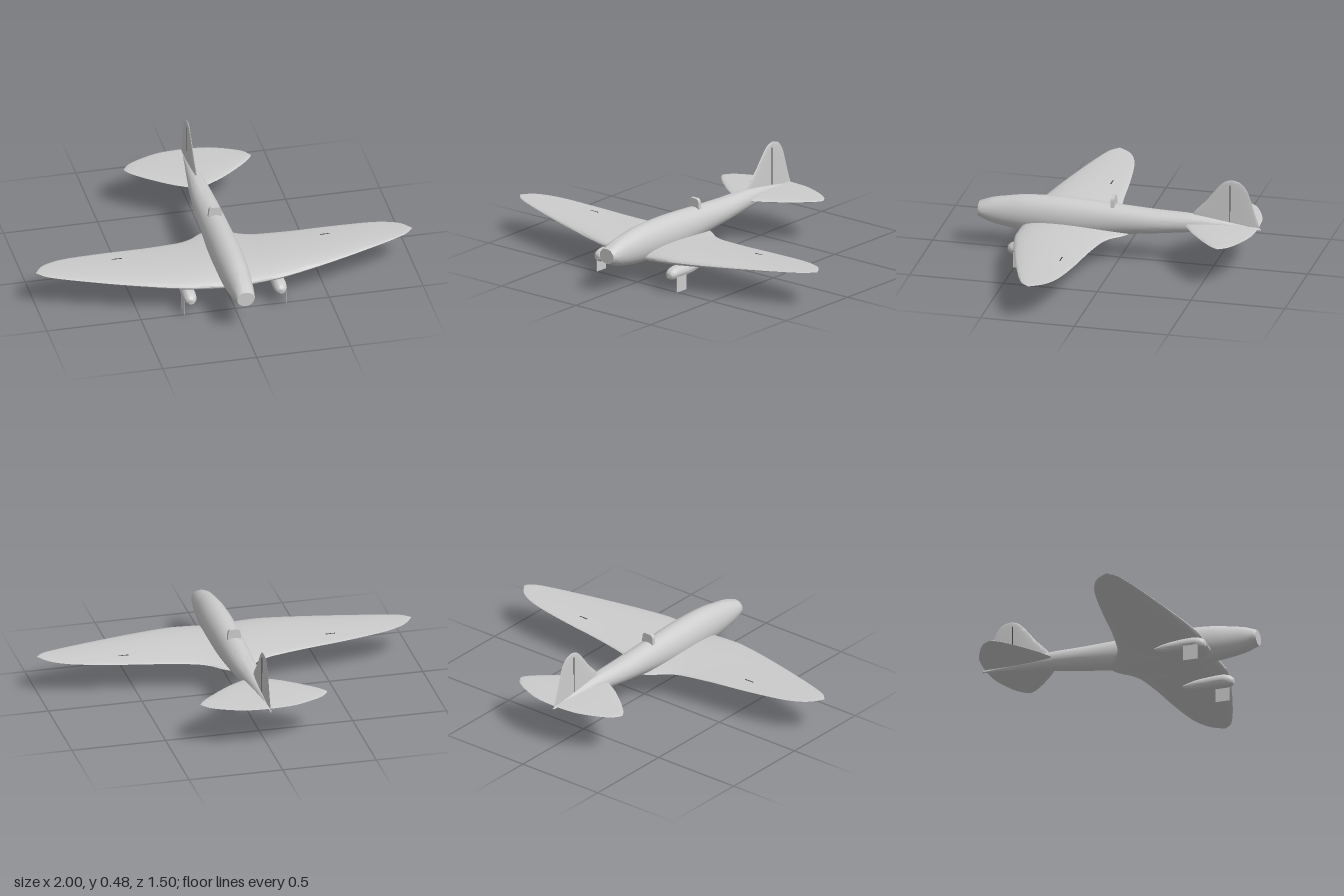
import * as THREE from 'three';
import { toCreasedNormals } from 'three/addons/utils/BufferGeometryUtils.js';

const paint = new THREE.MeshStandardMaterial({ color: 0xcccccc });
paint.name = 'light grey paint';
const dark = new THREE.MeshStandardMaterial({ color: 0x4a4a4a });
dark.name = 'dark hinge gap';

// Catmull-Rom blend between b and c
function spline(a, b, c, d, t) {
  const cubic = 3 * (b - c) + d - a;
  const square = 2 * a - 5 * b + 4 * c - d;
  return b + 0.5 * t * (c - a + t * (square + t * cubic));
}

// Smooth a table of stations, column by column
function smooth(rows, steps) {
  const out = [];
  const last = rows.length - 1;
  for (let i = 0; i < last; i++) {
    const a = rows[Math.max(i - 1, 0)], b = rows[i];
    const c = rows[i + 1], d = rows[Math.min(i + 2, last)];
    for (let k = 0; k < steps; k++) {
      out.push(b.map((p, n) => spline(a[n], p, c[n], d[n], k / steps)));
    }
  }
  out.push(rows[last]);
  return out;
}

// Skin a closed loop through every station and cap both ends
function loft(stations, sides, point) {
  const pos = [], index = [];
  for (const s of stations) {
    for (let j = 0; j < sides; j++) pos.push(...point(s, j / sides * Math.PI * 2));
  }
  const end = (stations.length - 1) * sides;
  for (let i = 0; i < end; i += sides) {
    for (let j = 0; j < sides; j++) {
      const a = i + j, b = i + (j + 1) % sides;
      index.push(a, b, b + sides, a, b + sides, a + sides);
    }
  }
  for (let j = 1; j < sides - 1; j++) {
    index.push(0, j + 1, j, end, end + j, end + j + 1);
  }
  const g = new THREE.BufferGeometry();
  g.setAttribute('position', new THREE.Float32BufferAttribute(pos, 3));
  g.setIndex(index);
  return toCreasedNormals(g, 0.8);
}

// Body station: [z, centre y, half width, half height]
const oval = ([z, y, w, h], a) => [w * Math.cos(a), y + h * Math.sin(a), z];

// Foil station: [span, leading z, trailing z, offset, thickness]
function foil([span, lead, trail, off, thick], a) {
  const s = Math.sin(a);
  return [span, off + thick / 2 * Math.cos(a) * (1 + 0.4 * s), (lead + trail) / 2 + (lead - trail) / 2 * s];
}
function uprightFoil(row, a) {
  const [span, off, z] = foil(row, a);
  return [-off, span, z];
}
const mirrorSpan = (half) => [...half.slice(1).reverse().map(([x, ...r]) => [-x, ...r]), ...half];

export function createModel() {
  const model = new THREE.Group();
  model.name = 'airplane';
  const add = (name, geometry, material = paint, x = 0, y = 0, z = 0) => {
    const m = new THREE.Mesh(geometry, material);
    m.name = name;
    m.position.set(x, y, z);
    model.add(m);
  };

  // Fuselage from tail to flat nose
  add('fuselage', loft(smooth([
    [-0.75, 0.22, 0.004, 0.004],
    [-0.6, 0.227, 0.02, 0.024],
    [-0.4, 0.229, 0.046, 0.048],
    [-0.2, 0.219, 0.063, 0.063],
    [0, 0.212, 0.071, 0.08],
    [0.2, 0.204, 0.078, 0.099],
    [0.35, 0.205, 0.08, 0.101],
    [0.5, 0.204, 0.075, 0.096],
    [0.6, 0.202, 0.067, 0.083],
    [0.68, 0.202, 0.059, 0.067],
    [0.735, 0.203, 0.051, 0.046],
    [0.75, 0.203, 0.046, 0.04],
  ], 4), 40, oval));

  // Wing with dihedral, rounded tips and a flared root at the trailing edge
  const wing = [
    [0, 0.51, -0.06, 0.143, 0.075],
    [0.07, 0.51, -0.03, 0.145, 0.073],
    [0.12, 0.51, 0.012, 0.149, 0.068],
    [0.18, 0.508, 0.042, 0.153, 0.063],
    [0.25, 0.503, 0.057, 0.157, 0.058],
    [0.4, 0.47, 0.077, 0.165, 0.047],
    [0.6, 0.415, 0.094, 0.176, 0.032],
    [0.8, 0.352, 0.12, 0.188, 0.017],
    [0.9, 0.316, 0.15, 0.194, 0.01],
    [0.96, 0.288, 0.188, 0.198, 0.006],
    [1, 0.247, 0.245, 0.2, 0.001],
  ];
  add('wing', loft(smooth(mirrorSpan(wing), 3), 40, foil));

  // Tailplane
  const tail = [
    [0, -0.34, -0.737, 0.231, 0.018],
    [0.05, -0.36, -0.736, 0.231, 0.017],
    [0.14, -0.412, -0.725, 0.231, 0.016],
    [0.24, -0.49, -0.687, 0.231, 0.012],
    [0.3, -0.545, -0.653, 0.231, 0.009],
    [0.325, -0.575, -0.625, 0.231, 0.006],
    [0.338, -0.599, -0.602, 0.231, 0.002],
  ];
  add('tailplane', loft(smooth(mirrorSpan(tail), 3), 32, foil));

  // Fin and rudder
  add('fin', loft(smooth([
    [0.217, -0.4, -0.75, 0, 0.016],
    [0.275, -0.385, -0.728, 0, 0.015],
    [0.36, -0.46, -0.702, 0, 0.012],
    [0.42, -0.507, -0.682, 0, 0.01],
    [0.455, -0.537, -0.66, 0, 0.008],
    [0.475, -0.563, -0.635, 0, 0.006],
    [0.483, -0.592, -0.602, 0, 0.003],
  ], 4), 32, uprightFoil));
  add('rudderHinge', new THREE.BoxGeometry(0.0145, 0.2, 0.005), dark, 0, 0.355, -0.586);

  // Headrest hoop standing on the spine
  const hoop = new THREE.Shape();
  hoop.moveTo(-0.036, 0);
  hoop.lineTo(0.036, 0);
  hoop.lineTo(0.033, 0.035);
  hoop.quadraticCurveTo(0.03, 0.055, 0.015, 0.055);
  hoop.lineTo(-0.015, 0.055);
  hoop.quadraticCurveTo(-0.03, 0.055, -0.033, 0.035);
  add('headrest', new THREE.ExtrudeGeometry(hoop, { depth: 0.02, bevelEnabled: false }), paint, 0, 0.285, 0.024);

  // Undercarriage pods and leg covers below each wing
  const pod = loft(smooth([
    [0.26, 0.1, 0.004, 0.004],
    [0.32, 0.097, 0.022, 0.024],
    [0.4, 0.098, 0.033, 0.033],
    [0.48, 0.099, 0.036, 0.035],
    [0.52, 0.096, 0.03, 0.029],
    [0.538, 0.095, 0.016, 0.016],
  ], 3), 24, oval);
  for (const [side, name] of [[1, 'left'], [-1, 'right']]) {
    add(name + 'WheelPod', pod, paint, side * 0.24);
    add(name + 'LegCover', new THREE.BoxGeometry(0.003, 0.085, 0.076), paint, side * 0.27, 0.0425, 0.467);
    // Aileron slit on the upper skin
    add(name + 'AileronSlit', new THREE.BoxGeometry(0.055, 0.003, 0.006), dark, side * 0.555, 0.1855, 0.18);
  }
  return model;
}
